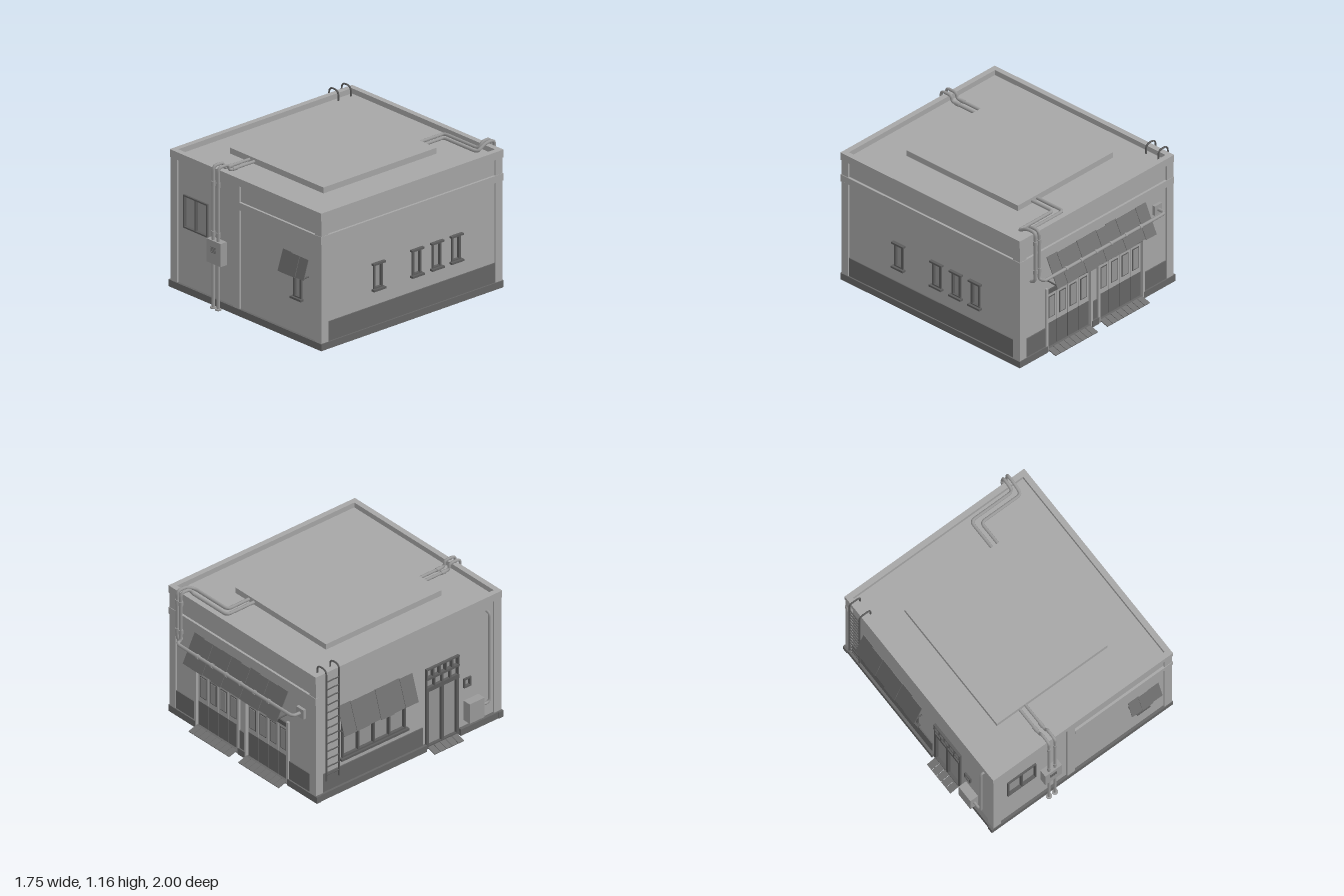
import * as THREE from 'three';

const mat = (name, color) => {
  const m = new THREE.MeshStandardMaterial({ color });
  m.name = name;
  return m;
};

export function createModel() {
  const wallMat = mat('wall', 0xa6a6a6), dark = mat('darkTrim', 0x666666), sheet = mat('awningSheet', 0x707070);
  const glass = mat('glass', 0x949494), metal = mat('pipeMetal', 0x9a9a9a), frameMat = mat('frame', 0x5c5c5c);
  const model = new THREE.Group();
  model.name = 'building';

  const add = (parent, name, geo, m) => {
    const mesh = new THREE.Mesh(geo, m);
    mesh.name = name;
    parent.add(mesh);
    return mesh;
  };
  // box from ranges: across, up, outward
  const box = (p, name, m, u0, u1, y0, y1, n0, n1) => {
    const b = add(p, name, new THREE.BoxGeometry(u1 - u0, y1 - y0, n1 - n0), m);
    b.position.set((u0 + u1) / 2, (y0 + y1) / 2, (n0 + n1) / 2);
    return b;
  };
  // tube through points with rounded corners
  const pipe = (p, name, m, pts, r, bend = 0.035) => {
    const v = pts.map(a => new THREE.Vector3(...a));
    const path = new THREE.CurvePath();
    let from = v[0];
    for (let i = 1; i < v.length - 1; i++) {
      const step = (to) => v[i].clone().add(to.clone().sub(v[i]).setLength(Math.min(bend, v[i].distanceTo(to) * 0.49)));
      const a = step(v[i - 1]), b = step(v[i + 1]);
      path.add(new THREE.LineCurve3(from, a));
      path.add(new THREE.QuadraticBezierCurve3(a, v[i], b));
      from = b;
    }
    path.add(new THREE.LineCurve3(from, v[v.length - 1]));
    return add(p, name, new THREE.TubeGeometry(path, v.length > 2 ? 110 : 1, r, 8, false), m);
  };
  const collar = (p, x, y, z, r, h, axis) => {
    const c = add(p, 'pipeCollar', new THREE.CylinderGeometry(r, r, h, 10), metal);
    c.position.set(x, y, z);
    if (axis === 'x') c.rotation.z = Math.PI / 2;
    if (axis === 'z') c.rotation.x = Math.PI / 2;
  };

  // one facade: local x runs across, local z points outward
  const facade = (name, turn, x, z, u0, u1, holes) => {
    const g = new THREE.Group();
    g.name = name;
    g.rotation.y = turn;
    g.position.set(x, 0, z);
    model.add(g);
    const s = new THREE.Shape([[u0, 0.015], [u1, 0.015], [u1, 1.07], [u0, 1.07]].map(a => new THREE.Vector2(...a)));
    for (const [a, b, c, d] of holes)
      s.holes.push(new THREE.Path([[a, c], [a, d], [b, d], [b, c]].map(q => new THREE.Vector2(...q))));
    const w = add(g, 'wall', new THREE.ExtrudeGeometry(s, { depth: 0.03, bevelEnabled: false }), wallMat);
    w.position.z = -0.045;
    for (const [a, b] of [[u0, u0 + 0.07], [u1 - 0.07, u1]]) box(g, 'cornerPilaster', wallMat, a, b, 0.06, 1.06, -0.045, 0);
    box(g, 'parapet', wallMat, u0 - 0.003, u1 + 0.003, 1.05, 1.112, -0.04, 0.005);
    return g;
  };
  const strips = (g, name, spans, y0, y1, n1) => {
    for (const [a, b] of spans) box(g, name, dark, a, b, y0, y1, -0.04, n1);
  };
  // rectangular frame with bars and a pane
  const framed = (g, name, u0, u1, y0, y1, bars, t = 0.012, n = 0) => {
    const f = new THREE.Group();
    f.name = name;
    g.add(f);
    box(f, 'pane', glass, u0, u1, y0, y1, -0.034, -0.026);
    for (const y of [y0, y1 - t]) box(f, 'rail', frameMat, u0, u1, y, y + t, -0.05, n);
    for (let i = 0; i <= bars; i++) {
      const u = u0 + (u1 - u0 - t) * i / bars;
      box(f, 'stile', frameMat, u, u + t, y0 + t, y1 - t, -0.05, n - 0.001);
    }
    return f;
  };
  const slimWindow = (g, u) => {
    const f = framed(g, 'slimWindow', u - 0.046, u + 0.046, 0.345, 0.555, 1, 0.018, -0.003);
    box(f, 'lintel', frameMat, u - 0.061, u + 0.061, 0.545, 0.56, -0.02, 0.012);
    box(f, 'sill', frameMat, u - 0.061, u + 0.061, 0.337, 0.353, -0.02, 0.016);
  };
  const slimHole = u => [u - 0.046, u + 0.046, 0.345, 0.555];
  // sloping awning of overlapping sheets
  const awning = (g, u0, u1, yt, nt, yb, nb, count) => {
    const a = new THREE.Group();
    a.name = 'awning';
    g.add(a);
    const len = Math.hypot(yt - yb, nb - nt), w = (u1 - u0) / count;
    for (let i = 0; i < count; i++) {
      const s = add(a, 'awningSheet', new THREE.BoxGeometry(w + 0.006, len - 0.012 * (i * 7 % 3) / 2, 0.006), sheet);
      s.position.set(u0 + w * (i + 0.5), (yt + yb) / 2, (nt + nb) / 2 + (i % 2) * 0.005);
      s.rotation.x = -Math.atan2(nb - nt, yt - yb);
      s.rotation.z = ((i * 5) % 3 - 1) * 0.012;
    }
    for (const u of [u0 + 0.02, u1 - 0.02]) pipe(a, 'awningBracket', frameMat, [[u, yb + 0.012, -0.02], [u, yb + 0.008, nb - 0.004]], 0.006);
    pipe(a, 'awningRod', frameMat, [[u0, yb + 0.012, nb - 0.008], [u1, yb + 0.012, nb - 0.008]], 0.005);
  };
  const ramp = (g, u0, u1, depth) => {
    const r = new THREE.Group();
    r.name = 'ramp';
    r.position.y = 0.035;
    r.rotation.x = 0.3;
    g.add(r);
    const n = Math.round((u1 - u0) / 0.055), w = (u1 - u0) / n;
    for (let i = 0; i < n; i++) box(r, 'rampPlank', sheet, u0 + i * w, u0 + (i + 0.93) * w, -0.008, 0, 0, depth);
  };

  // front
  const front = facade('front', 0, 0, 0.93, -0.79, 0.865, [[-0.655, -0.39, 0.525, 0.79], slimHole(0.594)]);
  box(front, 'middlePilaster', wallMat, -0.105, -0.035, 0.06, 1.06, -0.045, 0);
  box(front, 'band', wallMat, -0.035, 0.868, 0.86, 0.92, -0.03, 0.004);
  strips(front, 'plinth', [[-0.81, 0.87]], 0.01, 0.065, 0.006);
  framed(front, 'frontWindow', -0.655, -0.39, 0.525, 0.79, 2);
  slimWindow(front, 0.594);
  awning(front, 0.455, 0.73, 0.705, 0.005, 0.54, 0.058, 3);
  box(front, 'meterBox', metal, -0.345, -0.19, 0.365, 0.55, -0.015, 0.047);
  for (let i = 0; i < 5; i++) box(front, 'meterVent', frameMat, -0.3, -0.24, 0.455 + i * 0.01, 0.459 + i * 0.01, 0.046, 0.05);

  // right
  const right = facade('rightSide', Math.PI / 2, 0.865, 0, -0.93, 0.88, [-0.355, 0.03, 0.228, 0.422].map(slimHole));
  box(right, 'band', wallMat, -0.934, 0.884, 0.865, 0.922, -0.03, 0.004);
  strips(right, 'plinth', [[-0.935, 0.885]], 0.01, 0.065, 0.006);
  strips(right, 'wainscot', [[-0.86, 0.81]], 0.065, 0.22, -0.006);
  for (const u of [-0.355, 0.03, 0.228, 0.422]) slimWindow(right, u);

  // back, with two folding door sets
  const doors = [[-0.56, -0.1], [0, 0.46]];
  const back = facade('back', Math.PI, 0, -0.88, -0.865, 0.79, doors.map(([a, b]) => [a, b, 0.02, 0.54]));
  box(back, 'band', wallMat, -0.868, 0.793, 0.865, 0.922, -0.03, 0.004);
  strips(back, 'plinth', [[-0.87, -0.57], [-0.09, -0.01], [0.47, 0.81]], 0.01, 0.065, 0.006);
  strips(back, 'wainscot', [[-0.8, -0.58], [-0.09, -0.01], [0.48, 0.72]], 0.065, 0.22, -0.006);
  for (const [a, b] of doors) {
    for (const u of [a - 0.02, b]) box(back, 'doorPost', wallMat, u, u + 0.02, 0.015, 0.56, -0.05, 0.004);
    box(back, 'doorHead', frameMat, a, b, 0.505, 0.54, -0.05, -0.004);
    box(back, 'doorSill', dark, a, b, 0.01, 0.035, -0.05, 0);
    const w = (b - a) / 4;
    for (let i = 0; i < 4; i++) {
      const u = a + i * w;
      box(back, 'doorLowerPanel', dark, u + 0.003, u + w - 0.003, 0.035, 0.24, -0.045, -0.02);
      box(back, 'doorUpperPanel', wallMat, u + 0.003, u + w - 0.003, 0.24, 0.505, -0.045, -0.02);
      box(back, 'doorPaneFrame', frameMat, u + 0.022, u + w - 0.022, 0.285, 0.47, -0.02, -0.016);
      box(back, 'doorPane', glass, u + 0.03, u + w - 0.03, 0.293, 0.462, -0.018, -0.013);
    }
    ramp(back, a, b, 0.08);
  }
  awning(back, -0.575, 0.48, 0.84, 0, 0.612, 0.115, 10);

  // left, with ladder, window, door and utility box
  const left = facade('leftSide', -Math.PI / 2, -0.79, 0, -0.88, 0.93,
    [[-0.62, 0, 0.29, 0.6], [0.2, 0.52, 0.02, 0.72], [0.57, 0.64, 0.4, 0.48]]);
  strips(left, 'plinth', [[-0.885, 0.195], [0.525, 0.935]], 0.01, 0.065, 0.014);
  strips(left, 'wainscot', [[-0.81, 0.17]], 0.065, 0.22, -0.006);
  framed(left, 'sideWindow', -0.62, 0, 0.29, 0.6, 4, 0.016);
  box(left, 'windowSill', frameMat, -0.64, 0.02, 0.275, 0.293, -0.02, 0.018);
  awning(left, -0.66, 0.055, 0.76, -0.004, 0.53, 0.072, 6);
  framed(left, 'doorTransom', 0.2, 0.52, 0.63, 0.72, 5, 0.012, 0.006);
  framed(left, 'doorTransom', 0.2, 0.52, 0.54, 0.63, 4, 0.012, 0);
  framed(left, 'sideDoor', 0.2, 0.52, 0.02, 0.54, 2, 0.024, 0);
  ramp(left, 0.215, 0.505, 0.08);
  framed(left, 'smallWindow', 0.57, 0.64, 0.4, 0.48, 1);
  box(left, 'utilityBox', metal, 0.575, 0.72, 0.115, 0.285, -0.015, 0.055);
  pipe(left, 'sidePipe', metal, [[0.8, 0.98, -0.02], [0.8, 0.98, 0.018], [0.8, 0.2, 0.018], [0.7, 0.2, 0.018]], 0.011);
  for (const u of [-0.8, -0.675])
    pipe(left, 'ladderRail', frameMat, [[u, 0.18, 0.026], [u, 1.15, 0.026], [u, 1.15, -0.075], [u, 1.07, -0.075]], 0.007, 0.045);
  for (let i = 0; i < 13; i++) pipe(left, 'ladderRung', frameMat, [[-0.8, 0.23 + i * 0.068, 0.026], [-0.675, 0.23 + i * 0.068, 0.026]], 0.005);

  // roof
  box(model, 'roof', wallMat, -0.77, 0.845, 1.03, 1.07, -0.86, 0.91);
  box(model, 'roofPanel', wallMat, -0.505, 0.52, 1.07, 1.117, -0.535, 0.595);

  // front pipes over the parapet
  for (const x of [-0.295, -0.24]) {
    pipe(model, 'frontPipe', metal, [[x, 0, 0.955], [x, 1.138, 0.955], [x, 1.138, 0.85], [x, 1.09, 0.85], [x, 1.09, 0.58]], 0.012);
    collar(model, x, 0.006, 0.955, 0.024, 0.012);
    for (const y of [0.6, 1.0]) collar(model, x, y, 0.955, 0.016, 0.04);
    collar(model, x, 1.09, 0.79, 0.016, 0.04, 'z');
  }

  // back pipes from the roof panel
  pipe(model, 'awningPipe', metal, [[0.31, 1.09, -0.52], [0.31, 1.09, -0.8], [0.695, 1.09, -0.8], [0.695, 1.14, -0.83],
    [0.695, 1.14, -0.915], [0.695, 0.72, -0.915], [0.69, 0.72, -0.96], [-0.62, 0.72, -0.96], [-0.62, 0.72, -0.87]], 0.013);
  pipe(model, 'wallPipe', metal, [[0.365, 1.09, -0.52], [0.365, 1.09, -0.745], [0.735, 1.09, -0.745], [0.735, 1.14, -0.83],
    [0.735, 1.14, -0.915], [0.735, 0.72, -0.915], [0.735, 0.7, -0.87]], 0.013);
  for (const x of [0.695, 0.735]) for (const y of [0.8, 1.05]) collar(model, x, y, -0.915, 0.018, 0.035);
  for (let i = 0; i < 6; i++) collar(model, 0.45 - i * 0.16, 0.72, -0.96, 0.018, 0.02, 'x');
  box(model, 'pipePlate', metal, -0.66, -0.58, 0.68, 0.76, -0.89, -0.86);

  return model;
}
